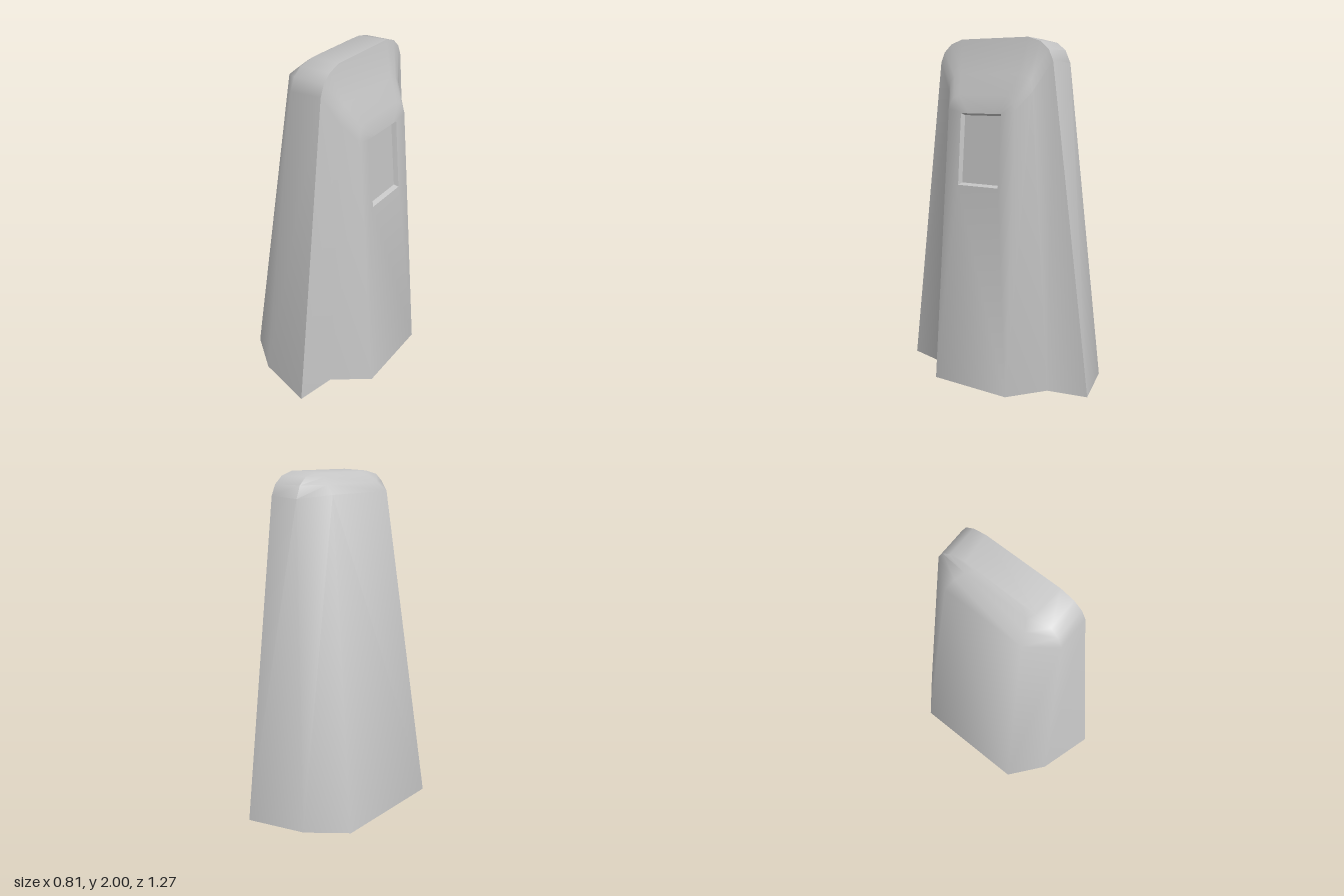
import * as THREE from 'three';
import { toCreasedNormals } from 'three/addons/utils/BufferGeometryUtils.js';

// Mirror the +z half of an arch (foot to crown) into a full arch over the top
const arch = (...half) => [...half, ...half.map(([x, y, z]) => [x, y, -z]).reverse()];

const quad = (out, a, b, c, d) => out.push(...a, ...b, ...c, ...a, ...c, ...d);

// Skin between two arches, the second lying further toward +x
function strip(out, a, b) {
  for (let i = 0; i < a.length - 1; i++) quad(out, a[i], b[i], b[i + 1], a[i + 1]);
}

// Close the inside of an arch, facing -x or +x
function fill(out, a, front) {
  for (let i = 0; i < a.length / 2 - 1; i++) {
    const j = a.length - 1 - i;
    if (front) quad(out, a[i], a[j], a[j - 1], a[i + 1]);
    else quad(out, a[i], a[i + 1], a[j - 1], a[j]);
  }
}

// Close the lower side between two nested arches facing +x
const sill = (out, a, b) => quad(out, a.at(-1), b.at(-1), b[0], a[0]);

export function createModel() {
  const group = new THREE.Group();
  const grey = new THREE.MeshStandardMaterial({ color: 0xc4c4c4 });
  grey.name = 'grey';

  const add = (name, positions, crease) => {
    const g = new THREE.BufferGeometry();
    g.setAttribute('position', new THREE.Float32BufferAttribute(positions, 3));
    const mesh = new THREE.Mesh(toCreasedNormals(g, crease), grey);
    mesh.name = name;
    group.add(mesh);
  };

  // Arches from the -x end to the +x end of the tower
  const end = arch([-0.41, 0, 0.363], [-0.17, 1.88, 0.24], [-0.115, 1.93, 0.22], [-0.07, 1.97, 0.19], [-0.04, 1.99, 0.15]);
  const shoulder = arch([-0.2, 0, 0.533], [-0.045, 1.86, 0.39], [-0.042, 1.93, 0.36], [-0.038, 1.972, 0.31], [-0.03, 1.994, 0.22]);
  const edge = arch([0.143, 0, 0.637], [0.143, 1.87, 0.39], [0.143, 1.93, 0.362], [0.143, 1.975, 0.31], [0.143, 2, 0.23]);
  const groove = arch([0.195, 0, 0.403], [0.195, 1.7, 0.29], [0.195, 1.76, 0.28], [0.195, 1.79, 0.25], [0.195, 1.8, 0.2]);
  const panel = arch([0.405, 0, 0.253], [0.276, 1.6, 0.23], [0.27, 1.64, 0.22], [0.264, 1.67, 0.2], [0.26, 1.68, 0.17]);
  const opening = arch([0.311, 1.17, 0.14], [0.277, 1.58, 0.14], [0.277, 1.58, 0.12], [0.277, 1.58, 0.1], [0.277, 1.58, 0.08]);
  const recess = opening.map(([x, y, z]) => [x - 0.025, y + (y < 1.3 ? 0.012 : -0.012), z * 0.92]);

  // Rounded tapering shell
  const shell = [];
  fill(shell, end, false);
  strip(shell, end, shoulder);
  strip(shell, shoulder, edge);
  add('towerShell', shell, 1.05);

  // Sloped flange and raised panel around the window opening
  const face = [];
  strip(face, edge, groove);
  strip(face, groove, panel);
  strip(face, panel, opening);
  sill(face, panel, opening);
  add('raisedPanel', face, 1.0);

  // Shallow window recess
  const win = [];
  strip(win, opening, recess);
  sill(win, opening, recess);
  fill(win, recess, true);
  add('windowRecess', win, 0.6);

  // Underside with a shallow hollow
  const loop = (...half) => arch(...half);
  const rim = loop(end[0], shoulder[0], edge[0], groove[0], panel[0]);
  const lip = loop([-0.3, 0.01, 0.26], [-0.18, 0.01, 0.38], [0.04, 0.01, 0.42], [0.055, 0.01, 0.3], [0.06, 0.01, 0.18]);
  const floor = lip.map(([x, y, z]) => [-0.1 + (x + 0.1) * 0.8, 0.14, z * 0.8]);
  const base = [];
  for (const [a, b] of [[rim, lip], [lip, floor]]) {
    a.forEach((p, i) => {
      const j = (i + 1) % a.length;
      quad(base, p, b[i], b[j], a[j]);
    });
  }
  floor.forEach((p, i) => base.push(...p, -0.1, 0.14, 0, ...floor[(i + 1) % floor.length]));
  add('hollowBase', base, 0.8);

  return group;
}
